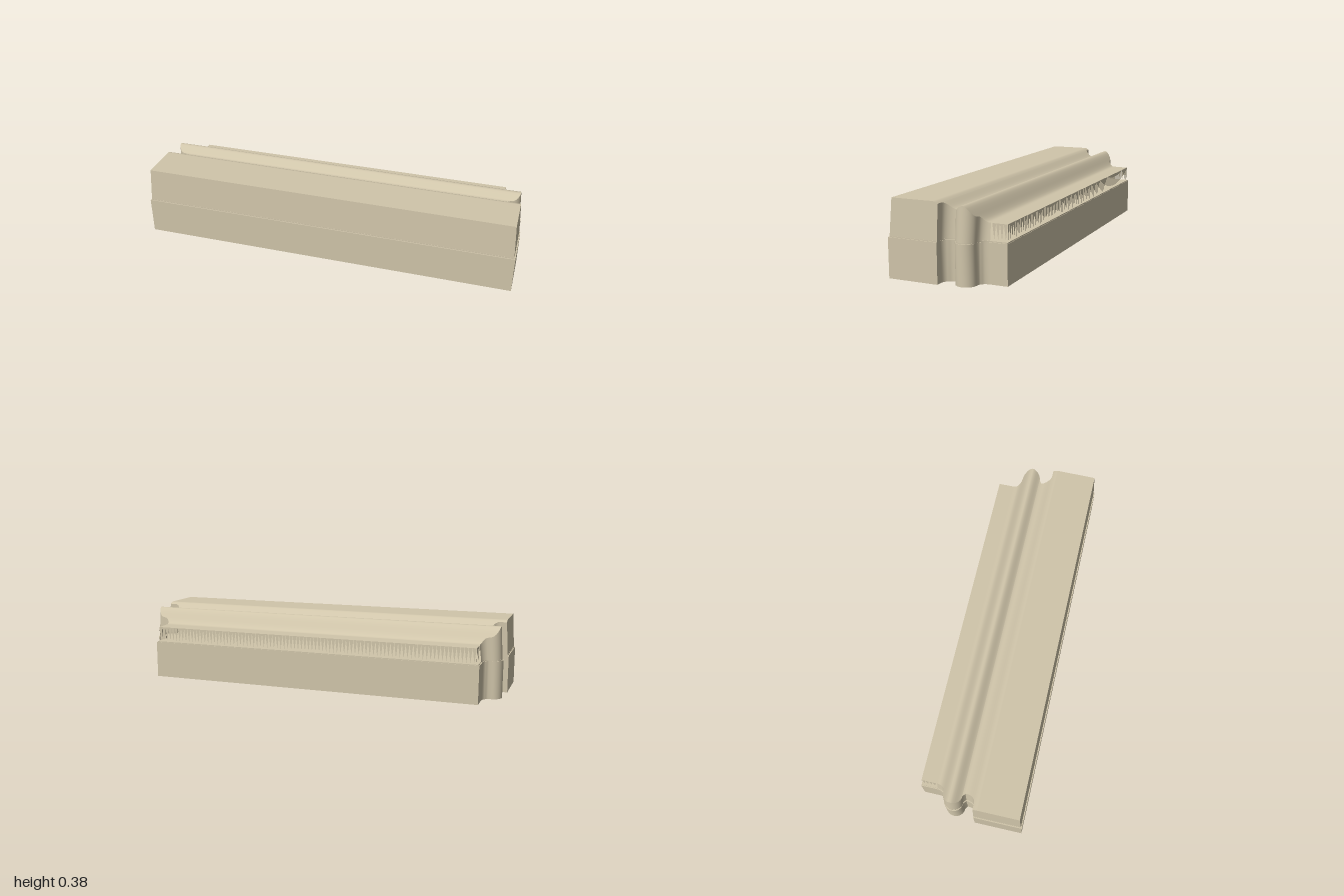
import * as THREE from 'three';
import { toCreasedNormals } from 'three/addons/utils/BufferGeometryUtils.js';

const LEDGE = 0.2, BACK = -0.272;

// Right-hand plan outline [x, z], front to back: straight end, cove, round bead, cove, straight end
function planOutline() {
  const p = [];
  for (const z of [0.278, 0.05, 0.043, 0.037, 0.03, 0.023]) p.push([1, z]);
  for (let i = 0; i <= 6; i++) {
    const a = (i / 6) * Math.PI / 2;
    p.push([0.965 - 0.04 * Math.sin(a), 0.023 - 0.055 * (1 - Math.cos(a))]);
  }
  for (let i = 0; i <= 14; i++) {
    const a = (i / 14) * Math.PI;
    p.push([0.943 + 0.047 * Math.sin(a), -0.094 + 0.05 * Math.cos(a)]);
  }
  for (let i = 1; i <= 6; i++) {
    const a = (i / 6) * Math.PI / 2;
    p.push([0.935 - 0.035 * Math.sin(a), -0.145 - 0.045 * (1 - Math.cos(a))]);
  }
  p.push([0.9, -0.278]);
  return p;
}

// Height of the moulded top at depth z
const crests = [[0.05, 0.378], [-0.035, 0.332], [-0.095, 0.366], [-0.18, 0.282], [-0.278, 0.28]];
function topHeight(z) {
  if (z >= crests[0][0]) return crests[0][1];
  for (let i = 0; i < crests.length - 1; i++) {
    const [za, ya] = crests[i], [zb, yb] = crests[i + 1];
    if (z >= zb) return ya + (yb - ya) * THREE.MathUtils.smoothstep((za - z) / (za - zb), 0, 1);
  }
  return 0.28;
}

// Surface between two rows of points
function strip(a, b) {
  const g = new THREE.BufferGeometry(), index = [], n = a.length;
  g.setAttribute('position', new THREE.Float32BufferAttribute([...a, ...b].flat(), 3));
  for (let i = 0; i < n - 1; i++) index.push(i, i + 1, n + i + 1, i, n + i + 1, n + i);
  g.setIndex(index);
  g.computeVertexNormals();
  return g;
}

// Solid slab with the mirrored plan outline
function slab(right, y, height) {
  const all = [...right, ...right.map(([x, z]) => [-x, z]).reverse()];
  const shape = new THREE.Shape(all.map(([x, z]) => new THREE.Vector2(x, -z)));
  const g = new THREE.ExtrudeGeometry(shape, { depth: height, bevelEnabled: false });
  g.rotateX(-Math.PI / 2).translate(0, y, 0);
  return toCreasedNormals(g, 0.6);
}

// Row of hanging pointed teeth from point a to point b
function teeth(a, b, count) {
  const at = (t, y) => [a[0] + (b[0] - a[0]) * t, y, a[1] + (b[1] - a[1]) * t];
  const v = [];
  for (let i = 0; i < count; i++) {
    v.push(...at(i / count, 0.28), ...at((i + 0.5) / count, 0.205), ...at((i + 1) / count, 0.28));
  }
  const g = new THREE.BufferGeometry();
  g.setAttribute('position', new THREE.Float32BufferAttribute(v, 3));
  g.computeVertexNormals();
  return g;
}

export function createModel() {
  const group = new THREE.Group();
  const stone = new THREE.MeshStandardMaterial({ color: 0xd0c5aa, side: THREE.DoubleSide });
  stone.name = 'sandstone';
  const add = (name, geometry) => {
    const m = new THREE.Mesh(geometry, stone);
    m.name = name;
    group.add(m);
  };
  const flip = (row) => row.map(([x, y, z]) => [-x, y, z]);

  // Base block and the thin ledge above it
  const plan = planOutline();
  add('baseBlock', slab(plan, 0, 0.195));
  const inset = plan.map(([x, z]) => [x - 0.005, THREE.MathUtils.clamp(z, -0.276, 0.273)]);
  add('ledge', slab(inset, 0.195, LEDGE - 0.195));

  // Moulded cap shell with slightly leaning walls
  const foot = plan.map(([x, z]) => [x - 0.006, LEDGE, THREE.MathUtils.clamp(z, BACK, 0.272)]);
  const rim = plan.map(([x, z]) => {
    const zc = THREE.MathUtils.clamp(z, BACK, 0.262);
    return [x - 0.016, topHeight(zc), zc];
  });
  add('mouldedTop', strip(rim, flip(rim)));
  add('capFront', strip([flip(foot)[0], foot[0]], [flip(rim)[0], rim[0]]));

  // End walls stop before the toothed rear part
  const n = plan.length - 1;
  const wallFoot = foot.slice(0, n), wallRim = rim.slice(0, n);
  add('leftEndWall', toCreasedNormals(strip(wallFoot, wallRim), 0.8));
  add('rightEndWall', toCreasedNormals(strip(flip(wallRim), flip(wallFoot)), 0.8));

  // Toothed skirt around the back
  const x = rim[n][0];
  add('backTeeth', teeth([x, BACK], [-x, BACK], 90));
  add('leftTeeth', teeth([x, -0.196], [x, BACK], 4));
  add('rightTeeth', teeth([-x, BACK], [-x, -0.196], 4));
  return group;
}
